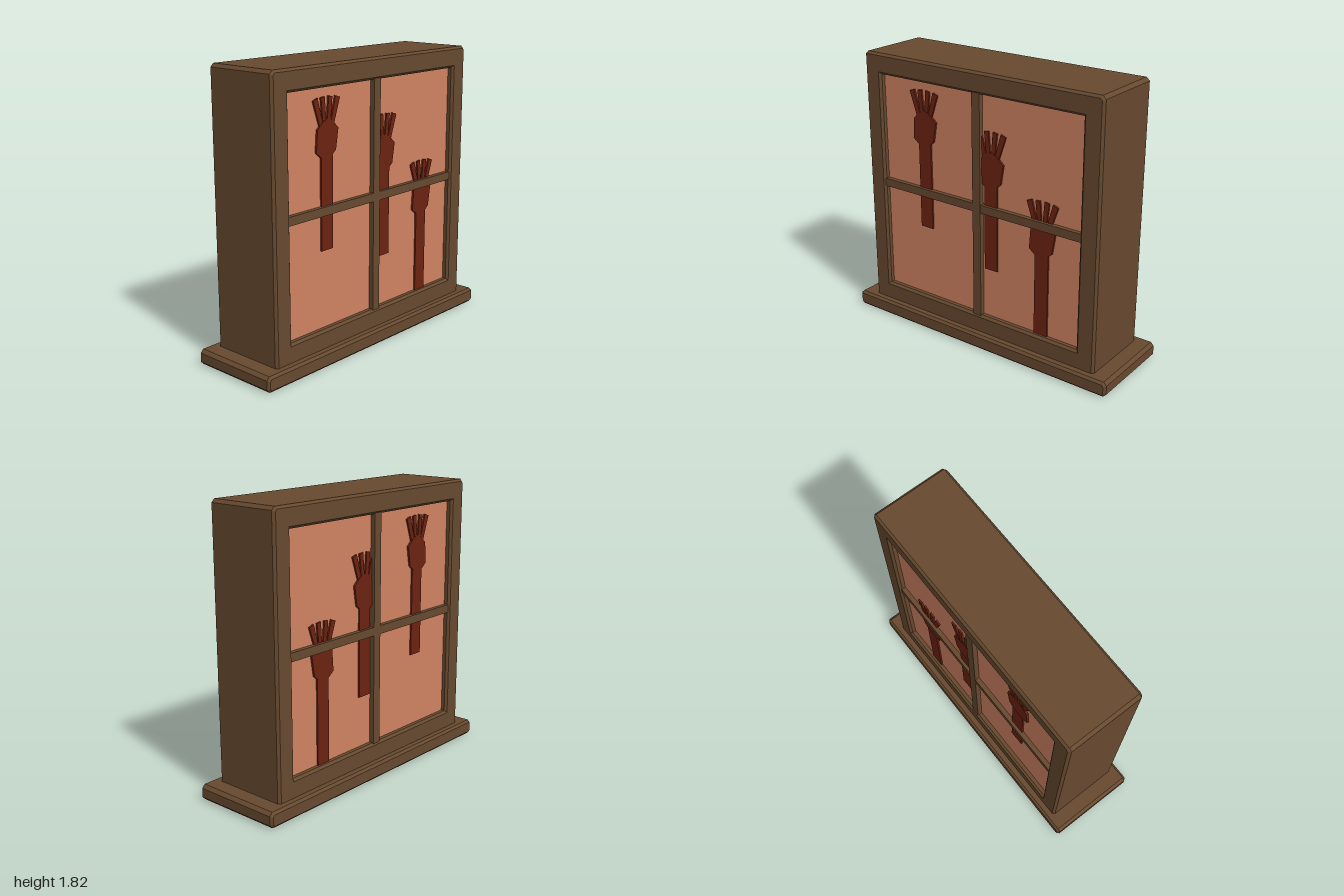
import * as THREE from 'three';

const wood = new THREE.MeshStandardMaterial({ color: 0x67492f });
wood.name = 'brown wood';
const glass = new THREE.MeshStandardMaterial({ color: 0xd08262 });
glass.name = 'orange glass';
const red = new THREE.MeshStandardMaterial({ color: 0x6c2210 });
red.name = 'dark red';

// Rectangle outline with cut corners
function cutRect(x0, y0, x1, y1, c) {
  return [[x0 + c, y0], [x1 - c, y0], [x1, y0 + c], [x1, y1 - c],
    [x1 - c, y1], [x0 + c, y1], [x0, y1 - c], [x0, y0 + c]];
}

const toVectors = (pts) => pts.map(([x, y]) => new THREE.Vector2(x, y));

// Flat shape extruded evenly to both sides of z = 0, with an optional chamfer
function slab(shape, halfDepth, bevel = 0) {
  const depth = 2 * (halfDepth - bevel);
  const geo = new THREE.ExtrudeGeometry(shape, {
    depth, bevelEnabled: bevel > 0, bevelSize: bevel, bevelThickness: bevel, bevelSegments: 1,
  });
  return geo.translate(0, 0, -depth / 2);
}

function add(parent, name, geo, mat, x = 0, y = 0, z = 0) {
  const mesh = new THREE.Mesh(geo, mat);
  mesh.name = name;
  mesh.position.set(x, y, z);
  parent.add(mesh);
  return mesh;
}

// Raised hand silhouette, origin at the wrist, showing on both faces of the pane
function makeHand(x, wristY, armBottom) {
  const hand = new THREE.Group();
  hand.name = 'hand';
  hand.position.set(x, wristY, 0);
  const half = 0.228;

  const armLength = wristY - armBottom + 0.02;
  add(hand, 'arm', new THREE.BoxGeometry(0.097, armLength, half * 2 - 0.004), red, 0, 0.02 - armLength / 2);

  const palm = [[-0.05, 0], [0.037, 0], [0.075, 0.032], [0.096, 0.16],
    [0.043, 0.209], [0.003, 0.225], [-0.037, 0.205], [-0.08, 0.166], [-0.09, 0.032]];
  add(hand, 'palm', slab(new THREE.Shape(toVectors(palm)), half), red);

  // Outer and inner finger, mirrored to make four
  const fingers = [
    [[-0.058, 0.18], [-0.03, 0.19], [-0.075, 0.35], [-0.112, 0.337]],
    [[-0.031, 0.19], [-0.003, 0.19], [-0.016, 0.354], [-0.048, 0.349]],
  ];
  for (const side of [1, -1]) {
    for (const f of fingers) {
      const pts = f.map(([px, py]) => [px * side, py]);
      add(hand, 'finger', slab(new THREE.Shape(toVectors(pts)), half - 0.002), red);
    }
  }
  return hand;
}

export function createModel() {
  const model = new THREE.Group();
  model.name = 'window';

  // Sill
  add(model, 'sill', slab(new THREE.Shape(toVectors(cutRect(-0.985, 0.015, 0.985, 0.085, 0.012))), 0.305, 0.015), wood);

  // Deep frame with a chamfered opening
  const outline = new THREE.Shape(toVectors(cutRect(-0.87, 0.09, 0.87, 1.805, 0.012)));
  outline.holes.push(new THREE.Path(toVectors([[-0.77, 0.203], [-0.77, 1.7], [0.77, 1.7], [0.77, 0.203]])));
  add(model, 'frame', slab(outline, 0.255, 0.015), wood);

  // Pane filling the opening
  add(model, 'pane', new THREE.BoxGeometry(1.52, 1.48, 0.43), glass, 0, 0.952, 0);

  // Glazing bars on both faces
  for (const side of [1, -1]) {
    add(model, 'verticalBar', new THREE.BoxGeometry(0.06, 1.482, 0.04), wood, 0, 0.952, side * 0.227);
    add(model, 'horizontalBar', new THREE.BoxGeometry(1.524, 0.054, 0.036), wood, 0, 0.955, side * 0.227);
  }

  // Hands
  model.add(makeHand(-0.425, 1.275, 0.708));
  model.add(makeHand(0.096, 1.108, 0.55));
  model.add(makeHand(0.476, 0.754, 0.215));

  return model;
}
